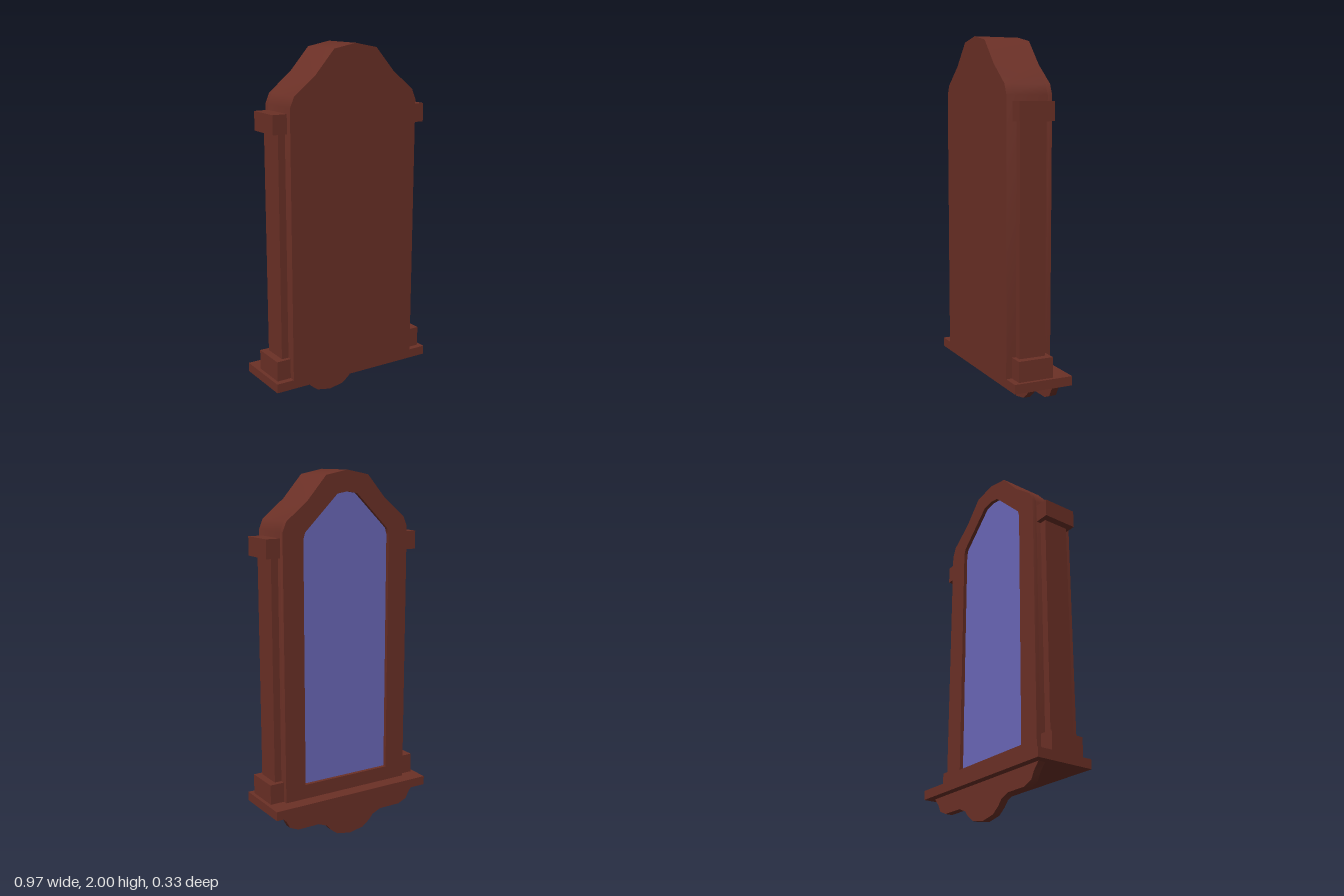
import * as THREE from 'three';
import { toCreasedNormals } from 'three/addons/utils/BufferGeometryUtils.js';

// Closed symmetric outline from the points of its right half
function mirrored(half) {
  const left = half.filter(([x]) => x > 0).reverse().map(([x, y]) => [-x, y]);
  return [...half, ...left].map(([x, y]) => new THREE.Vector2(x, y));
}

export function createModel() {
  const wood = new THREE.MeshStandardMaterial({ color: 0x6b3026 });
  wood.name = 'mahogany wood';
  const glass = new THREE.MeshStandardMaterial({ color: 0x6a67b8 });
  glass.name = 'blue glass';

  const group = new THREE.Group();
  group.name = 'mirrorCabinet';

  function add(name, geometry, material) {
    const mesh = new THREE.Mesh(geometry, material);
    mesh.name = name;
    group.add(mesh);
  }
  // Box given by its limits on each axis
  function box(name, [x0, x1], [y0, y1], [z0, z1]) {
    const g = new THREE.BoxGeometry(x1 - x0, y1 - y0, z1 - z0);
    g.translate((x0 + x1) / 2, (y0 + y1) / 2, (z0 + z1) / 2);
    add(name, g, wood);
  }
  // Flat outline extruded from z0 to z1, smooth along its rim
  function slab(name, outline, z0, z1, material, hole) {
    const shape = new THREE.Shape(outline);
    if (hole) shape.holes.push(new THREE.Path(hole));
    const g = new THREE.ExtrudeGeometry(shape, { depth: z1 - z0, bevelEnabled: false });
    g.translate(0, 0, z0);
    add(name, toCreasedNormals(g, 0.9), material);
  }

  const bodyOutline = mirrored([
    [0.385, 0.25], [0.385, 1.695], [0.362, 1.75], [0.238, 1.85], [0.128, 1.975], [0, 2],
  ]);
  const windowOutline = mirrored([
    [0.265, 0.33], [0.265, 1.655], [0.255, 1.69], [0.06, 1.88], [0, 1.89],
  ]);
  const apronOutline = mirrored([
    [0, 0], [0.085, 0.016], [0.127, 0.048], [0.153, 0.078], [0.205, 0.1],
    [0.333, 0.1], [0.385, 0.122], [0.405, 0.16], [0.44, 0.2],
  ]);

  // Arched case, the frame on its -z side, and the recessed pane
  const recess = -0.065;
  slab('caseBody', bodyOutline, recess, 0.165, wood);
  slab('windowFrame', bodyOutline, -0.09, recess, wood, windowOutline);
  slab('glassPane', windowOutline, recess - 0.004, recess + 0.002, glass);

  // Shelf and scalloped apron
  box('shelf', [-0.485, 0.485], [0.2, 0.25], [-0.167, 0.165]);
  slab('apron', apronOutline, -0.127, -0.087, wood);

  // Side pilasters with capital and base blocks
  for (const [side, s] of [['left', 1], ['right', -1]]) {
    const span = (outer) => (s > 0 ? [0.385, outer] : [-outer, -0.385]);
    box(side + 'Pilaster', span(0.425), [0.36, 1.565], [-0.037, 0.11]);
    box(side + 'Capital', span(0.465), [1.565, 1.665], [-0.063, 0.132]);
    box(side + 'Base', span(0.465), [0.25, 0.36], [-0.063, 0.132]);
  }
  return group;
}
